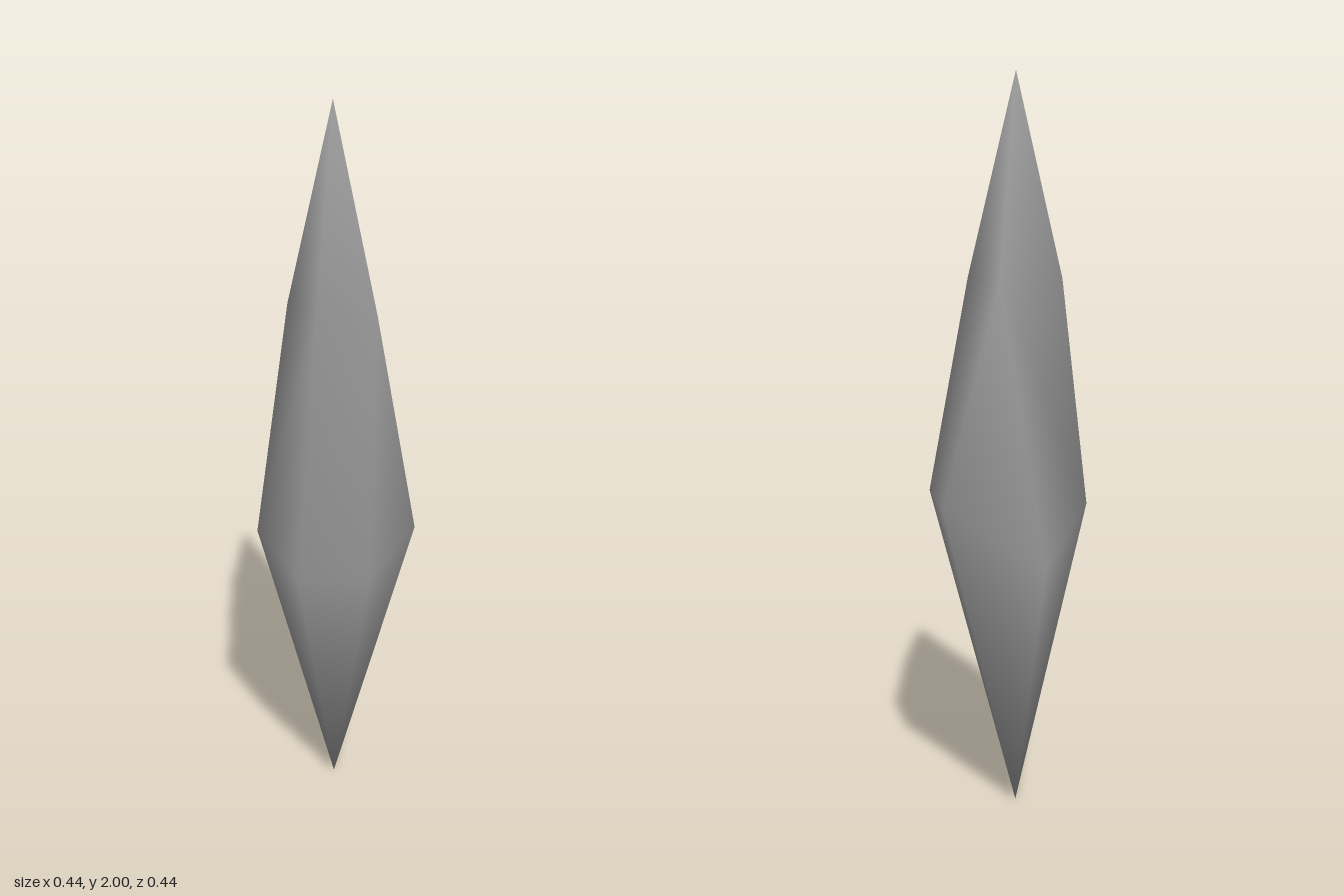
import * as THREE from 'three';

export function createModel() {
  // Cross-sections, each running the same way round the crystal
  const waist = [
    [0.175, 0.87, 0.13], [0.017, 0.78, 0.22], [-0.17, 0.785, 0.18],
    [-0.22, 0.83, -0.055], [-0.005, 0.70, -0.222], [0.22, 0.855, -0.06],
  ];
  const shoulder = [
    [0.083, 1.46, 0.07], [-0.08, 1.46, 0.058], [-0.11, 1.46, -0.11], [0.083, 1.46, -0.128],
  ];
  const tips = [[0, 2, -0.053], [0, 0, -0.053]];

  const W = (i) => i % 6;
  const S = (k) => 6 + (k % 4);
  const TOP = 10, BOTTOM = 11;
  const index = [];

  // Lower point, and the facets rising from each waist edge to a shoulder corner
  [0, 0, 1, 3, 3, 0].forEach((corner, i) => {
    index.push(W(i), W(i + 1), BOTTOM);
    index.push(W(i + 1), W(i), S(corner));
  });

  // Facets hanging from each shoulder edge to a waist corner, and the upper point
  [2, 3, 3, 5].forEach((corner, k) => {
    index.push(W(corner), S(k), S(k + 1));
    index.push(S(k + 1), S(k), TOP);
  });

  const geometry = new THREE.BufferGeometry();
  geometry.setAttribute('position',
    new THREE.Float32BufferAttribute([...waist, ...shoulder, ...tips].flat(), 3));
  geometry.setIndex(index);
  geometry.computeVertexNormals();

  const crystal = new THREE.Mesh(geometry, new THREE.MeshStandardMaterial({ color: 0x999999 }));
  crystal.name = 'crystal';

  const group = new THREE.Group();
  group.name = 'crystalShard';
  group.add(crystal);
  return group;
}
